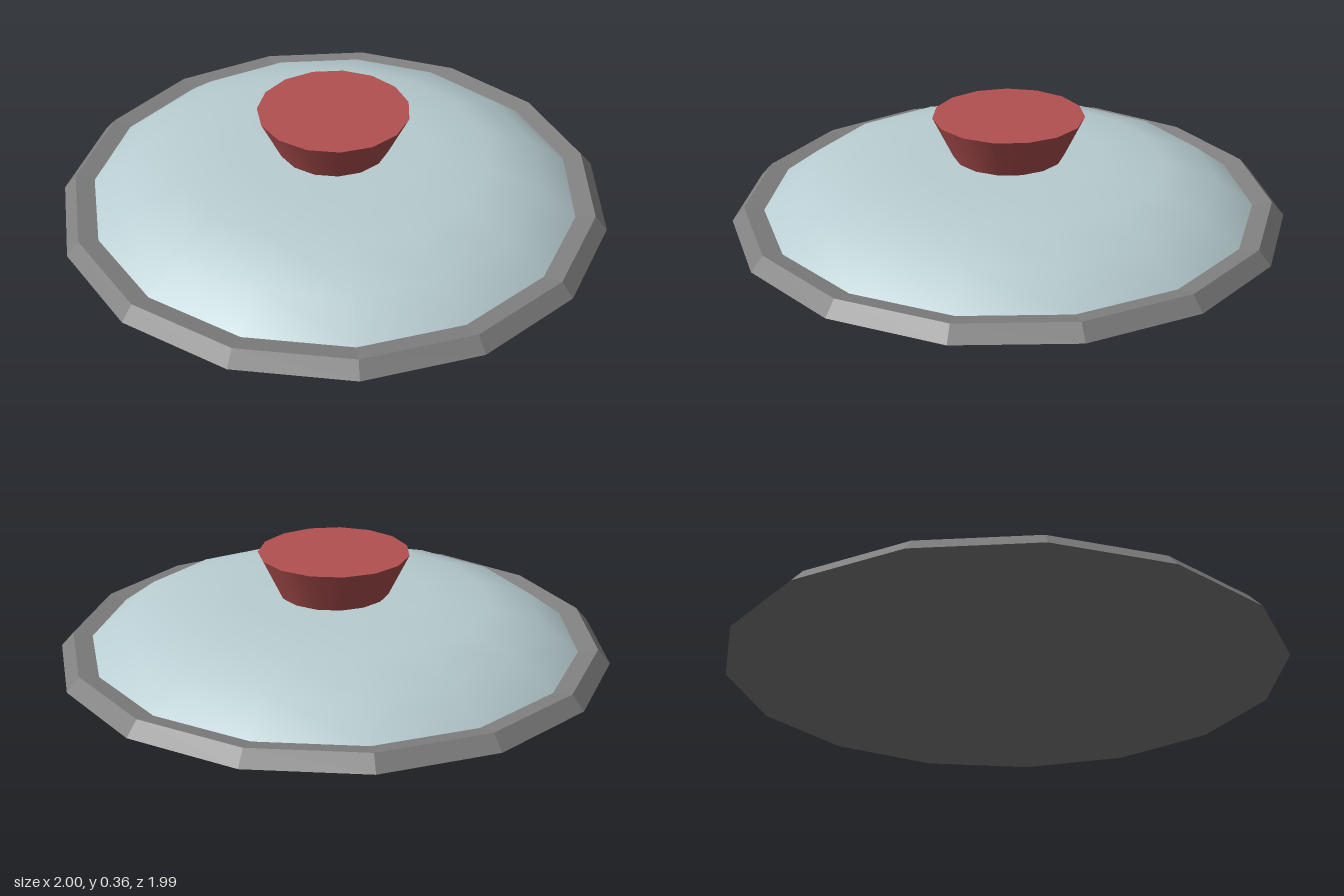
import * as THREE from 'three';

const SIDES = 15;

// Turned shape from [radius, height] pairs, with a corner pointing to the back
function turned(profile) {
  const points = profile.map(([r, y]) => new THREE.Vector2(r, y));
  return new THREE.LatheGeometry(points, SIDES, Math.PI);
}

export function createModel() {
  const rimGrey = new THREE.MeshStandardMaterial({ color: 0x808080 });
  rimGrey.name = 'rim grey';
  const paleGlass = new THREE.MeshStandardMaterial({ color: 0xb8cdd1 });
  paleGlass.name = 'pale glass';
  const knobRed = new THREE.MeshStandardMaterial({ color: 0xb35050 });
  knobRed.name = 'knob red';

  const lid = new THREE.Group();
  lid.name = 'lid';
  const add = (name, geometry, material) => {
    const mesh = new THREE.Mesh(geometry, material);
    mesh.name = name;
    lid.add(mesh);
    return mesh;
  };

  // Faceted rim: closed underside, bevelled edge, top sloping in to the glass
  const rim = turned([[0, 0], [1.005, 0], [0.96, 0.05], [0.87, 0.032]]).toNonIndexed();
  rim.computeVertexNormals();
  add('rim', rim, rimGrey);

  // Smooth shallow glass dome
  add('dome', turned([[0.89, 0.036], [0.76, 0.13], [0.57, 0.188], [0.34, 0.208], [0, 0.21]]), paleGlass);

  // Knob flaring upwards
  const knob = add('knob', new THREE.CylinderGeometry(0.275, 0.197, 0.16, SIDES), knobRed);
  knob.rotation.y = Math.PI;
  knob.position.y = 0.28;

  // The odd number of sides needs a small shift to centre the depth
  lid.position.z = 0.011;

  const model = new THREE.Group();
  model.name = 'potLid';
  model.add(lid);
  return model;
}
